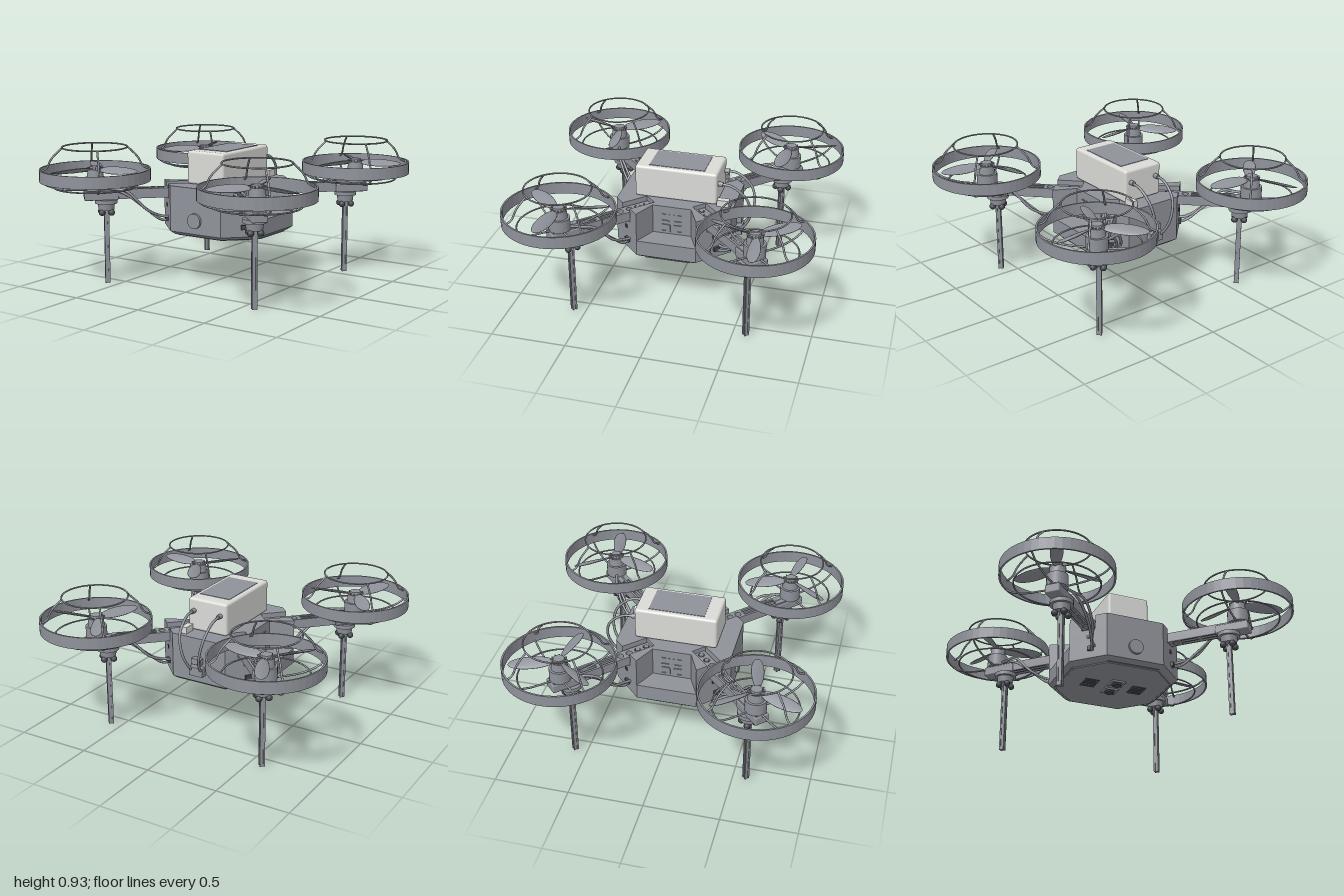
import * as THREE from 'three';
import { RoundedBoxGeometry } from 'three/addons/geometries/RoundedBoxGeometry.js';

const mat = (name, color) => {
  const m = new THREE.MeshStandardMaterial({ color });
  m.name = name;
  return m;
};
const V = (x, y, z) => new THREE.Vector3(x, y, z);

export function createModel() {
  const grey = mat('body grey', 0x8f929a);
  const pale = mat('pale casing', 0xdadad7);
  const dark = mat('dark fittings', 0x484a50);
  const model = new THREE.Group();

  // Helpers
  const add = (parent, name, geo, m, x = 0, y = 0, z = 0) => {
    const mesh = new THREE.Mesh(geo, m);
    mesh.name = name;
    mesh.position.set(x, y, z);
    parent.add(mesh);
    return mesh;
  };
  const group = (parent, name, x = 0, y = 0, z = 0) => {
    const g = new THREE.Group();
    g.name = name;
    g.position.set(x, y, z);
    parent.add(g);
    return g;
  };
  const box = (p, name, w, h, d, m, x, y, z) => add(p, name, new THREE.BoxGeometry(w, h, d), m, x, y, z);
  const cyl = (p, name, rt, rb, y0, y1, m, x = 0, z = 0, n = 24) =>
    add(p, name, new THREE.CylinderGeometry(rt, rb, y1 - y0, n), m, x, (y0 + y1) / 2, z);
  const zDisc = (p, name, r, depth, m, x, y, z) =>
    add(p, name, new THREE.CylinderGeometry(r, r, depth, 24).rotateX(Math.PI / 2), m, x, y, z);
  const tube = (p, name, pts, r, m, n = 20) =>
    add(p, name, new THREE.TubeGeometry(new THREE.CatmullRomCurve3(pts), n, r, 8), m);
  const outline = pts => new THREE.Shape(pts.map(([x, y]) => new THREE.Vector2(x, y)));
  const upright = (shape, y0, y1) =>
    new THREE.ExtrudeGeometry(shape, { depth: y1 - y0, bevelEnabled: false, curveSegments: 24 })
      .rotateX(-Math.PI / 2).translate(0, y0, 0);
  // Mirrors one quadrant of an outline into all four
  const fourfold = q => {
    const half = [...q, ...q.map(([x, y]) => [-x, y]).reverse()];
    return outline([...half, ...half.map(([x, y]) => [x, -y]).reverse()]);
  };
  const roundHole = (x, y, r) => new THREE.Path().absarc(x, y, r, 0, Math.PI * 2, true);

  // Octagonal hull, with flat-floored side recesses and open slots for the arms
  const hull = group(model, 'hull');
  const octagon = k => fourfold([[0.39 * k, 0.2 * k], [0.2 * k, 0.39 * k]]);
  add(hull, 'lowerHull', upright(octagon(1), 0.365, 0.47), grey);
  add(hull, 'middleHull', upright(fourfold([[0.24, 0.13], [0.39, 0.2], [0.2, 0.39]]), 0.47, 0.57), grey);
  add(hull, 'upperHull', upright(fourfold([[0.24, 0.13], [0.39, 0.2], [0.33, 0.26], [0.2, 0.13],
    [0.13, 0.2], [0.26, 0.33], [0.2, 0.39]]), 0.57, 0.67), grey);
  const keel = upright(octagon(1), 0.342, 0.365);
  const kp = keel.attributes.position;
  for (let i = 0; i < kp.count; i++) {
    if (kp.getY(i) < 0.35) kp.setXYZ(i, kp.getX(i) * 0.92, kp.getY(i), kp.getZ(i) * 0.92);
  }
  keel.computeVertexNormals();
  add(hull, 'keel', keel, grey);
  add(hull, 'bottomPlate', upright(octagon(0.88), 0.335, 0.343), grey);

  // Corner brackets on the upright wall of each side recess
  for (const s of [0, 1]) {
    const side = group(hull, 'sideRecess');
    side.rotation.y = s * Math.PI;
    for (const a of [-1, 1]) for (const b of [-1, 1]) {
      box(side, 'bracketBar', 0.008, 0.008, 0.05, grey, 0.243, 0.55 + a * 0.015, b * 0.042);
      box(side, 'bracketBar', 0.008, 0.05, 0.008, grey, 0.243, 0.55 + a * 0.04, b * 0.015);
      box(side, 'bracketBar', 0.008, 0.008, 0.028, grey, 0.243, 0.55 + a * 0.061, b * 0.053);
    }
    box(side, 'lowerRail', 0.012, 0.012, 0.3, grey, 0.35, 0.34, 0);
  }

  // Front sensor, belly cameras and vents
  zDisc(hull, 'frontSensor', 0.05, 0.026, grey, 0, 0.455, 0.395);
  for (const z of [0.07, -0.06]) {
    box(hull, 'cameraMount', 0.1, 0.015, 0.08, grey, 0, 0.331, z);
    cyl(hull, 'cameraLens', 0.036, 0.026, 0.31, 0.326, dark, 0, z);
  }
  for (const x of [-0.17, 0.17]) for (let i = 0; i < 6; i++) {
    box(hull, 'vent', 0.1, 0.004, 0.008, dark, x, 0.334, -0.05 + i * 0.022);
  }

  // Battery case with grey top panel and looping leads
  const battery = group(model, 'battery');
  add(battery, 'case', new RoundedBoxGeometry(0.29, 0.222, 0.555, 3, 0.018), pale, 0, 0.784, 0);
  box(battery, 'topPanel', 0.226, 0.006, 0.375, grey, 0, 0.895, 0);
  box(battery, 'sideTab', 0.04, 0.05, 0.08, pale, 0.13, 0.69, -0.32);
  for (const s of [-1, 1]) {
    tube(battery, 'lead', [V(s * 0.1, 0.81, -0.27), V(s * 0.1, 0.8, -0.37), V(s * 0.09, 0.71, -0.47),
      V(s * 0.06, 0.57, -0.485), V(s * 0.035, 0.46, -0.42), V(s * 0.035, 0.45, -0.38)], 0.009, grey, 30);
    zDisc(battery, 'leadPlug', 0.016, 0.04, grey, s * 0.1, 0.81, -0.29);
  }
  box(battery, 'rearSocket', 0.1, 0.06, 0.05, grey, 0, 0.45, -0.405);
  box(battery, 'rearLatch', 0.07, 0.04, 0.04, grey, 0, 0.52, -0.405);

  // Shared rotor geometry: pitched blade and guard hoop
  const R = 0.896;
  const bladeShape = spin => {
    const g = new THREE.SphereGeometry(1, 20, 14).rotateZ(Math.PI / 2);
    const p = g.attributes.position;
    for (let i = 0; i < p.count; i++) {
      const t = p.getX(i);
      const a = -spin * (0.42 - 0.15 * t);
      const y = p.getY(i) * 0.009, z = p.getZ(i) * 0.045 * (1 + 0.1 * t);
      p.setXYZ(i, 0.175 + t * 0.147, y * Math.cos(a) - z * Math.sin(a), y * Math.sin(a) + z * Math.cos(a));
    }
    g.computeVertexNormals();
    return g;
  };
  const hoopShape = new THREE.Shape().absarc(0, 0, 0.367, 0, Math.PI * 2, false);
  hoopShape.holes.push(roundHole(0, 0, 0.356));
  const hoop = upright(hoopShape, 0.7, 0.78);

  // Perforated arm outline, running along +x
  const armShape = outline([[0.22, -0.04], [0.96, -0.04], [0.96, 0.04], [0.22, 0.04]]);
  for (const x of [0.265, 0.33, 0.395, 0.46]) armShape.holes.push(roundHole(x, 0, 0.022));
  for (const [a, b] of [[0.5, 0.62], [0.645, 0.765]]) for (const y of [-0.016, 0.016]) {
    armShape.holes.push(outline([[a, y - 0.009], [a, y + 0.009], [b, y + 0.009], [b, y - 0.009]]));
  }
  const armGeo = upright(armShape, 0.575, 0.64);

  for (let k = 0; k < 4; k++) {
    const angle = -Math.PI / 4 + k * Math.PI / 2;
    const corner = group(model, 'armAssembly');
    corner.rotation.y = angle;
    add(corner, 'arm', armGeo, grey);
    box(corner, 'armFloor', 0.56, 0.02, 0.05, grey, 0.5, 0.592, 0);
    for (const x of [0.265, 0.33]) cyl(corner, 'armBolt', 0.016, 0.016, 0.6, 0.644, grey, x, 0, 12);

    // Motor mount, leg socket and grooved leg
    add(corner, 'motorMount', new RoundedBoxGeometry(0.225, 0.06, 0.1, 2, 0.008), grey, 0.86, 0.6, 0);
    cyl(corner, 'legSocket', 0.075, 0.075, 0.545, 0.572, grey, 0.827);
    cyl(corner, 'legCollar', 0.058, 0.052, 0.5, 0.55, grey, 0.827);
    box(corner, 'legCore', 0.024, 0.5, 0.024, grey, 0.827, 0.25, 0);
    for (const a of [-1, 1]) for (const b of [-1, 1]) {
      box(corner, 'legRib', 0.011, 0.5, 0.011, grey, 0.827 + a * 0.011, 0.25, b * 0.011);
      add(corner, 'legClamp', new THREE.SphereGeometry(0.022, 12, 8), dark, 0.827 + a * 0.032, 0.485, b * 0.032);
    }

    // Cables sagging from hull to motor
    for (const o of [0, 0.025]) {
      tube(corner, 'motorCable', [V(0.41, 0.42 + o, -0.02 - o), V(0.47, 0.43 + o, -0.05), V(0.57, 0.51, -0.075 - o),
        V(0.7, 0.61 + o, -0.075 - o), V(0.8, 0.65, -0.055), V(0.86, 0.655, -0.02)], 0.009, grey);
    }
    box(corner, 'cableSocket', 0.03, 0.03, 0.04, dark, 0.42, 0.43, -0.02);
    box(corner, 'hullPort', 0.01, 0.025, 0.025, dark, 0.417, 0.52, 0);

    // Motor and guard cage
    const rotor = group(corner, 'rotor', R, 0, 0);
    cyl(rotor, 'motor', 0.07, 0.07, 0.635, 0.72, grey);
    cyl(rotor, 'motorCap', 0.05, 0.055, 0.72, 0.775, grey);
    cyl(rotor, 'hub', 0.036, 0.04, 0.775, 0.795, grey);
    for (let i = 0; i < 12; i++) {
      const a = i * Math.PI / 6;
      box(rotor, 'hubRib', 0.02, 0.012, 0.006, grey, Math.cos(a) * 0.045, 0.78, Math.sin(a) * 0.045).rotation.y = -a;
    }
    add(rotor, 'guardHoop', hoop, grey);
    for (const [r, y] of [[0.215, 0.922], [0.273, 0.66]]) {
      add(rotor, 'guardRing', new THREE.TorusGeometry(r, 0.0055, 8, 48).rotateX(Math.PI / 2), grey, 0, y, 0);
    }
    for (let i = 0; i < 4; i++) {
      const cage = group(rotor, 'guardStruts');
      cage.rotation.y = i * Math.PI / 2;
      tube(cage, 'upperStrut', [V(0.362, 0.765, 0), V(0.32, 0.785, 0), V(0.283, 0.85, 0), V(0.213, 0.922, 0)], 0.0065, grey, 12);
      tube(cage, 'lowerStrut', [V(0.362, 0.705, 0), V(0.32, 0.675, 0), V(0.22, 0.645, 0), V(0.06, 0.635, 0)], 0.0065, grey, 12);
    }

    // Propellers, turning opposite ways on neighbouring arms
    const spin = k % 2 ? -1 : 1;
    const prop = group(rotor, 'propeller', 0, 0.775, 0);
    prop.rotation.y = -angle - spin * 0.15;
    const blade = bladeShape(spin);
    for (let i = 0; i < 3; i++) {
      add(prop, 'blade', blade, grey).rotation.y = i * Math.PI * 2 / 3;
    }
  }
  return model;
}
